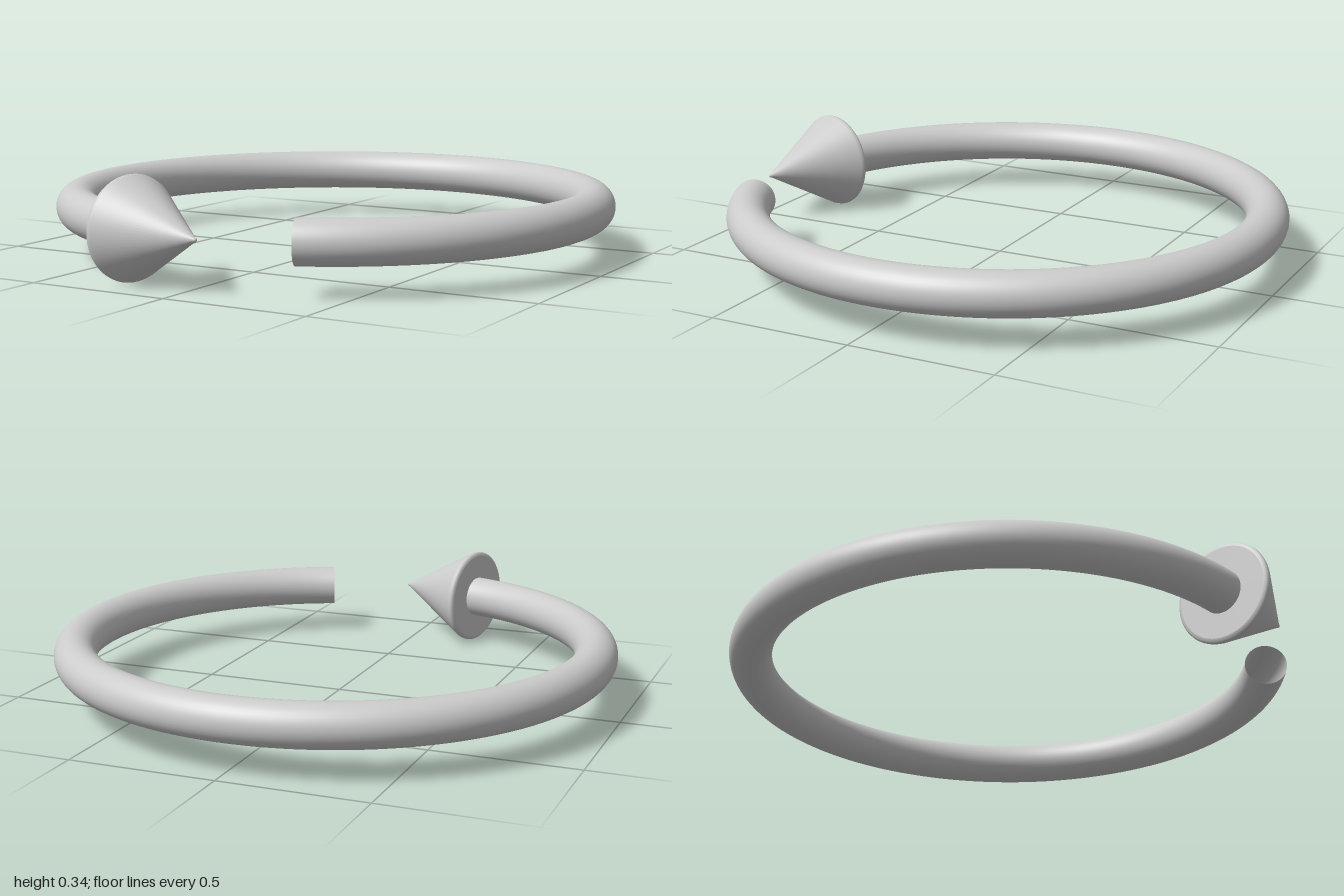
import * as THREE from 'three';

const RING_RADIUS = 0.896, TUBE_RADIUS = 0.073, HEIGHT = 0.173, RING_Z = -0.031;
const rad = THREE.MathUtils.degToRad;

export function createModel() {
  const group = new THREE.Group();
  group.name = 'circularArrow';
  const grey = new THREE.MeshStandardMaterial({ color: 0xcccccc });
  const greyOpen = new THREE.MeshStandardMaterial({ color: 0xcccccc, side: THREE.DoubleSide });

  // Open-ended tube bent into most of a circle, lying flat
  const tailAngle = 22.4, headAngle = 15.8; // degrees either side of the front
  const arc = rad(360 - tailAngle - headAngle);
  const ringGeo = new THREE.TorusGeometry(RING_RADIUS, TUBE_RADIUS, 40, 160, arc);
  ringGeo.rotateZ(rad(tailAngle - 90)).rotateX(-Math.PI / 2);
  const ring = new THREE.Mesh(ringGeo, greyOpen);
  ring.name = 'ringShaft';
  ring.position.set(0, HEIGHT, RING_Z);
  group.add(ring);

  // Cone with softened rim and tip; repeated points keep the flat base crisp
  const profile = [
    [0, 0], [0.158, 0], [0.158, 0], [0.166, 0.002], [0.171, 0.007], [0.172, 0.013],
    [0.170, 0.020], [0.168, 0.024], [0.009, 0.318], [0.007, 0.325], [0.004, 0.329], [0, 0.33],
  ].map(([r, y]) => new THREE.Vector2(r, y));
  const headGeo = new THREE.LatheGeometry(profile, 64);
  headGeo.rotateZ(-Math.PI / 2).rotateY(-rad(16.3));
  const head = new THREE.Mesh(headGeo, grey);
  head.name = 'arrowHead';
  head.position.set(-0.245, HEIGHT, 0.832);
  group.add(head);

  return group;
}
